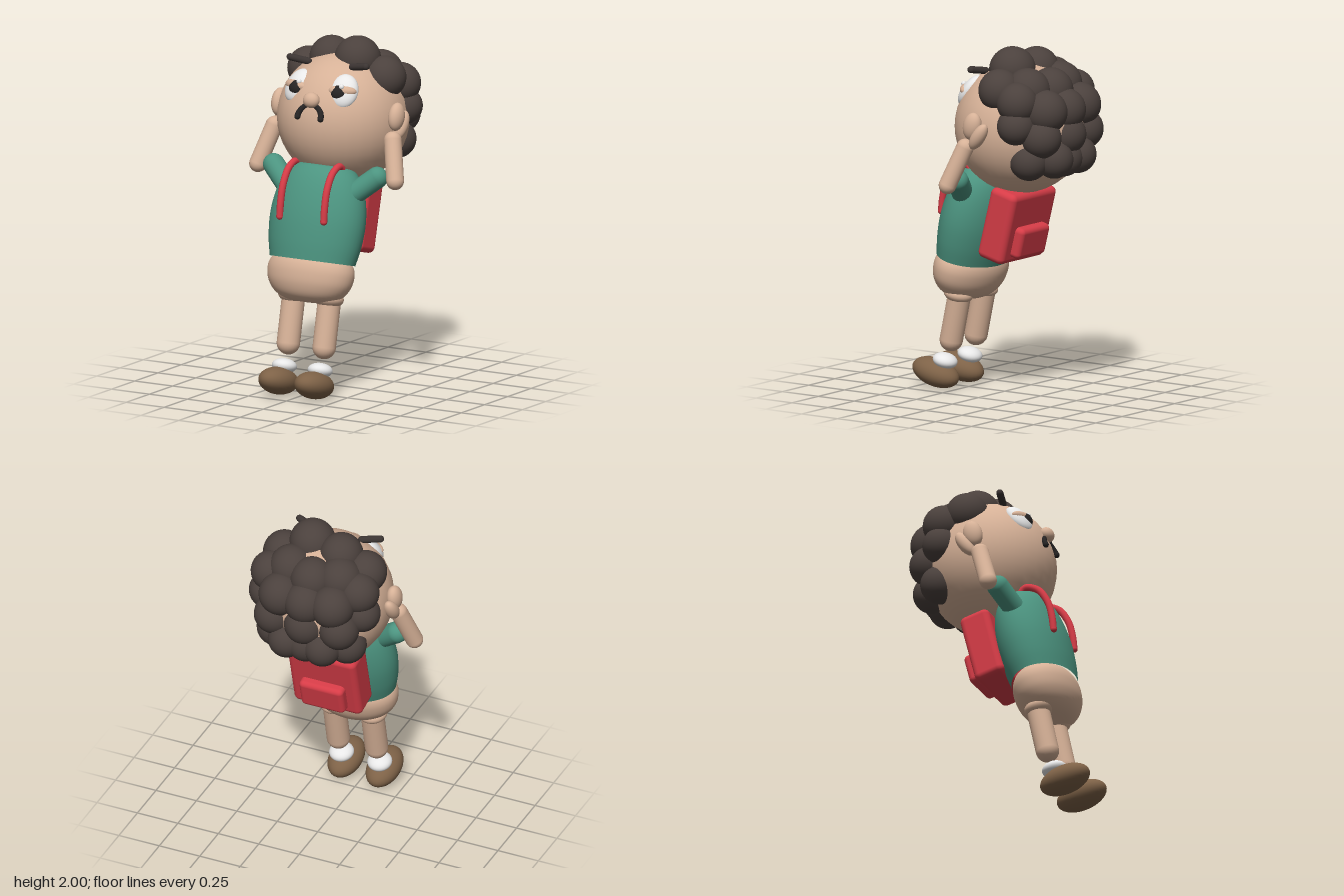
import * as THREE from 'three';
import { RoundedBoxGeometry } from 'three/addons/geometries/RoundedBoxGeometry.js';

const paint = (name, hex) => {
  const m = new THREE.MeshStandardMaterial({ color: hex });
  m.name = name;
  return m;
};
const V = (x, y, z) => new THREE.Vector3(x, y, z);

export function createModel() {
  const skin = paint('skin', 0xd6b197), hairBrown = paint('hair brown', 0x4b413d);
  const browBrown = paint('brow brown', 0x3b3432), green = paint('shirt green', 0x4c9480);
  const red = paint('pack red', 0xd63c47), brown = paint('shoe brown', 0x7e6247);
  const white = paint('white', 0xe8e8e8), black = paint('black', 0x262424);

  const model = new THREE.Group();
  model.name = 'leaningFigure';
  // the body leans backwards as a whole
  const body = new THREE.Group();
  body.name = 'body';
  body.rotation.x = -0.25;
  const head = new THREE.Group();
  head.name = 'headGroup';
  const arms = new THREE.Group();
  arms.name = 'arms';
  model.add(body, head, arms);

  const add = (parent, name, geometry, material) => {
    const mesh = new THREE.Mesh(geometry, material);
    mesh.name = name;
    parent.add(mesh);
    return mesh;
  };
  const ball = (parent, name, material, position, radii, tilt = 0, turn = 0) => {
    const mesh = add(parent, name, new THREE.SphereGeometry(1, 32, 22), material);
    mesh.position.copy(position);
    mesh.scale.set(...radii);
    mesh.rotation.set(tilt, turn, 0, 'YXZ');
    return mesh;
  };
  const capsule = (parent, name, material, from, to, radius) => {
    const dir = to.clone().sub(from);
    const mesh = add(parent, name, new THREE.CapsuleGeometry(radius, dir.length(), 10, 24), material);
    mesh.position.copy(from).lerp(to, 0.5);
    mesh.quaternion.setFromUnitVectors(V(0, 1, 0), dir.normalize());
    return mesh;
  };
  const lathe = (name, material, profile) => {
    const curve = new THREE.SplineCurve(profile.map(p => new THREE.Vector2(...p)));
    const points = curve.getPoints(32).map(p => new THREE.Vector2(Math.max(p.x, 0), p.y));
    const mesh = add(body, name, new THREE.LatheGeometry(points, 48), material);
    mesh.position.z = 0.4;
    mesh.scale.z = 0.67;
  };

  // torso
  lathe('hips', skin, [[0, 0.445], [0.12, 0.452], [0.2, 0.485], [0.25, 0.545], [0.266, 0.61], [0.258, 0.66], [0.23, 0.7]]);
  lathe('shirt', green, [[0.262, 0.681], [0.283, 0.78], [0.293, 0.9], [0.283, 1.01], [0.255, 1.11], [0.21, 1.185], [0.15, 1.225], [0, 1.235]]);

  // backpack
  const pack = add(body, 'backpack', new RoundedBoxGeometry(0.42, 0.42, 0.18, 5, 0.035), red);
  pack.position.set(0, 0.975, 0.16);
  const pocket = add(body, 'backpackPocket', new RoundedBoxGeometry(0.27, 0.18, 0.08, 5, 0.028), red);
  pocket.position.set(0, 0.9, 0.055);

  for (const s of [-1, 1]) {
    const side = s > 0 ? 'left' : 'right';

    // strap over the shoulder
    const path = new THREE.CatmullRomCurve3([
      V(0.145, 1.2, 0.1), V(0.145, 1.305, 0.155), V(0.145, 1.285, 0.235),
      V(0.145, 1.2, 0.298), V(0.145, 1.1, 0.326), V(0.145, 1.02, 0.335)
    ].map(p => p.setX(s * p.x)));
    add(model, side + 'Strap', new THREE.TubeGeometry(path, 40, 0.02, 12), red);
    ball(model, side + 'StrapEnd', red, V(s * 0.145, 1.02, 0.335), [0.02, 0.02, 0.02]);

    // leg, sock and shoe
    ball(body, side + 'Thigh', skin, V(s * 0.118, 0.48, 0.366), [0.085, 0.05, 0.085]);
    capsule(body, side + 'Leg', skin, V(s * 0.118, 0.48, 0.358), V(s * 0.118, 0.206, 0.348), 0.066);
    ball(body, side + 'Sock', white, V(s * 0.118, 0.076, 0.359), [0.071, 0.042, 0.071]);
    ball(body, side + 'Shoe', brown, V(s * 0.118, -0.012, 0.404), [0.096, 0.078, 0.151]);

    // sleeve, forearm and hand held up to the head
    capsule(arms, side + 'Sleeve', green, V(s * 0.21, 1.145, 0.135), V(s * 0.34, 1.25, 0.08), 0.062);
    capsule(arms, side + 'Forearm', skin, V(s * 0.452, 1.24, 0.068), V(s * 0.39, 1.455, -0.008), 0.05);
    ball(arms, side + 'Hand', skin, V(s * 0.388, 1.525, -0.1), [0.042, 0.088, 0.04], -0.6);
    ball(head, side + 'Ear', skin, V(s * 0.385, 1.58, -0.055), [0.044, 0.08, 0.056], -0.25);

    // eye with lid, pupil and glint
    ball(head, side + 'Eye', white, V(s * 0.15, 1.733, 0.125), [0.083, 0.104, 0.05], -0.62, s * 0.3);
    ball(head, side + 'Eyelid', skin, V(s * 0.152, 1.738, 0.145), [0.082, 0.034, 0.04], -0.3, s * 0.3);
    ball(head, side + 'Pupil', black, V(s * 0.14, 1.728, 0.158), [0.05, 0.046, 0.04], -0.4, s * 0.2);
    ball(head, side + 'EyeGlint', white, V(s * 0.14 + 0.02, 1.767, 0.168), [0.015, 0.015, 0.015]);
    capsule(head, side + 'Eyebrow', browBrown, V(s * 0.25, 1.873, 0.052), V(s * 0.145, 1.855, 0.026), 0.02);
  }

  // head, nose and downturned mouth
  ball(head, 'head', skin, V(0, 1.53, -0.115), [0.375, 0.375, 0.375]);
  ball(head, 'nose', skin, V(0, 1.685, 0.232), [0.05, 0.044, 0.04], -0.3);
  const mouth = add(head, 'mouth', new THREE.TorusGeometry(0.076, 0.017, 12, 32, Math.PI), black);
  mouth.position.set(0, 1.588, 0.258);
  mouth.rotation.x = -0.47;
  for (const s of [-1, 1]) ball(head, 'mouthCorner', black, V(s * 0.076, 1.588, 0.258), [0.017, 0.017, 0.017]);

  // curls: x, y, z, radius
  const single = [
    [0.09, 1.868, -0.12, 0.132], [-0.1, 1.85, -0.15, 0.126], [0, 1.76, -0.32, 0.128],
    [0, 1.66, -0.415, 0.122], [0, 1.52, -0.42, 0.12], [0, 1.385, -0.41, 0.108]
  ];
  const paired = [
    [0.25, 1.775, -0.15, 0.122], [0.15, 1.77, -0.27, 0.13], [0.27, 1.72, -0.285, 0.117],
    [0.29, 1.59, -0.29, 0.107], [0.16, 1.665, -0.4, 0.125], [0.2, 1.52, -0.4, 0.115],
    [0.22, 1.385, -0.33, 0.11], [0.11, 1.39, -0.425, 0.108]
  ];
  const curls = [...single, ...paired, ...paired.map(([x, ...rest]) => [-x, ...rest])];
  for (const [x, y, z, r] of curls) ball(head, 'hairCurl', hairBrown, V(x, y, z), [r, r, r]);

  return model;
}
